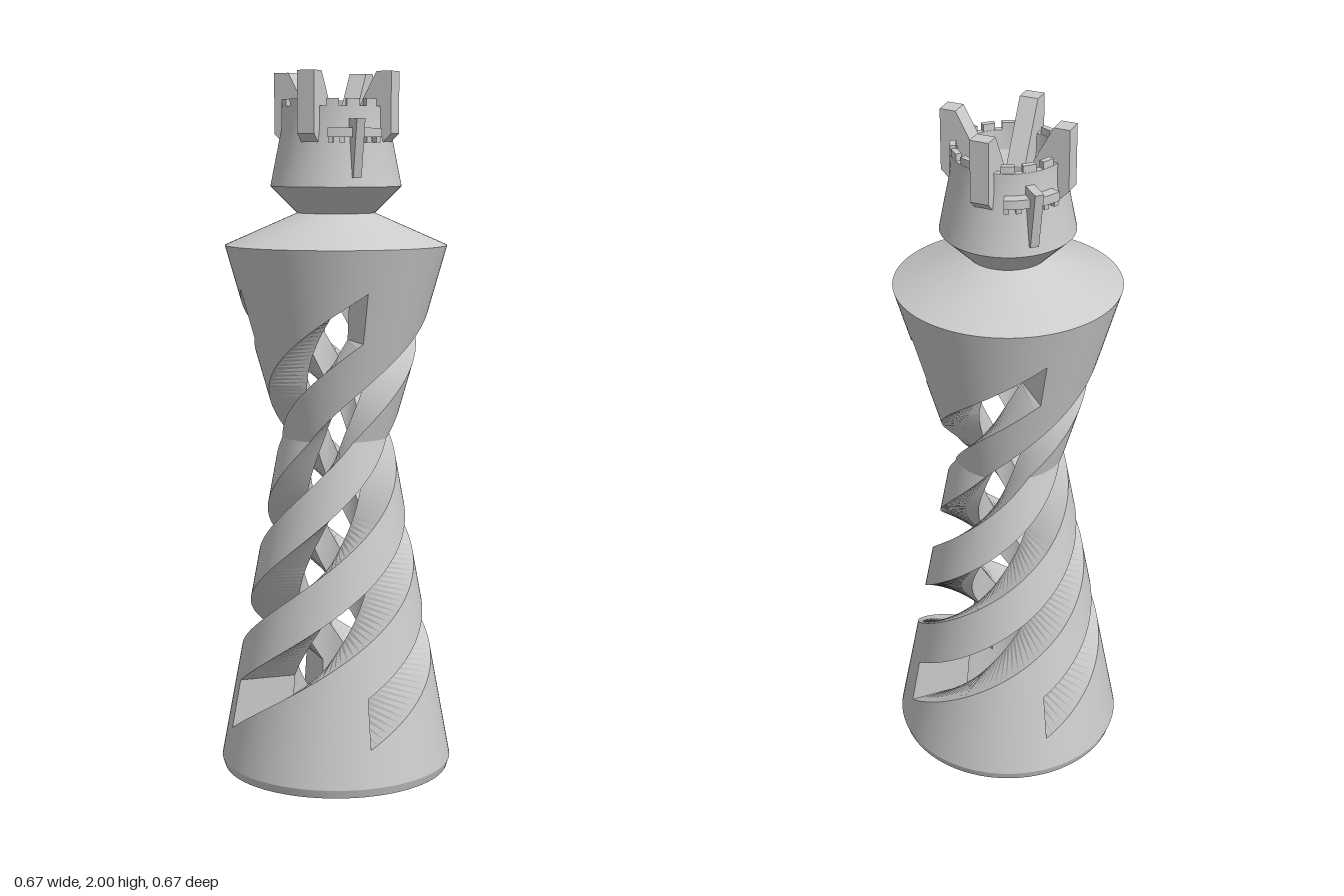
import * as THREE from 'three';
import { toCreasedNormals } from 'three/addons/utils/BufferGeometryUtils.js';

const mat = new THREE.MeshStandardMaterial({ color: 0xcccccc });
const TAU = Math.PI * 2;

// Body: two cones meeting at a waist, with a bore in proportion to the outside.
const BASE_Y = 0.025, WAIST_Y = 0.975, TOP_Y = 1.52, BORE = 0.433;
function outerRadius(y) {
  return y < WAIST_Y
    ? THREE.MathUtils.mapLinear(y, BASE_Y, WAIST_Y, 0.335, 0.16)
    : THREE.MathUtils.mapLinear(y, WAIST_Y, TOP_Y, 0.16, 0.315);
}

// Four slots climb one full turn; q counts quarter turns along a slot.
const slotLow = q => 0.13 + q * 0.2825;
const slotHigh = q => slotLow(q) + 0.14;

function mesh(name, geometry, crease = 0.4) {
  const m = new THREE.Mesh(toCreasedNormals(geometry, crease), mat);
  m.name = name;
  return m;
}

function point(r, y, a) {
  return new THREE.Vector3(r * Math.sin(a), y, r * Math.cos(a));
}

// Spiral body, one quadrant at a time: five bands of material between the slots.
function spiralBody() {
  const positions = [], STEPS = 24;
  const tri = (...pts) => {
    if (new THREE.Triangle(...pts).getArea() < 1e-9) return;
    for (const p of pts) positions.push(p.x, p.y, p.z);
  };
  const quad = (a, b, c, d) => { tri(a, b, c); tri(a, c, d); };
  const section = (low, high, angle) => {
    const mid = THREE.MathUtils.clamp(WAIST_Y, low, high);
    const ys = [low, mid, high];
    return [
      ...ys.map(y => point(outerRadius(y), y, angle)),
      ...ys.reverse().map(y => point(outerRadius(y) * BORE, y, angle)),
    ];
  };
  for (let k = 0; k < 4; k++) {
    const start = k * TAU / 4;
    for (let band = 0; band < 5; band++) {
      const rings = [];
      for (let i = 0; i <= STEPS; i++) {
        const t = i / STEPS;
        const low = band === 0 ? BASE_Y : slotHigh(t + band - 1);
        const high = band === 4 ? TOP_Y : slotLow(t + band);
        rings.push(section(low, high, start + t * TAU / 4));
      }
      for (let i = 0; i < STEPS; i++) {
        for (let j = 0; j < 6; j++) {
          const n = (j + 1) % 6;
          quad(rings[i][j], rings[i + 1][j], rings[i + 1][n], rings[i][n]);
        }
      }
    }
    // Upright walls closing the lower and upper end of each slot
    for (const q of [0, 4]) {
      const y0 = slotLow(q), y1 = slotHigh(q);
      const c = [
        point(outerRadius(y0), y0, start), point(outerRadius(y0) * BORE, y0, start),
        point(outerRadius(y1) * BORE, y1, start), point(outerRadius(y1), y1, start),
      ];
      if (q === 4) c.reverse();
      quad(...c);
    }
  }
  const g = new THREE.BufferGeometry();
  g.setAttribute('position', new THREE.Float32BufferAttribute(positions, 3));
  return g;
}

function lathe(profile) {
  return new THREE.LatheGeometry(profile.map(p => new THREE.Vector2(...p)), 96);
}

// Radial plate: (radius, y) outline with a thickness, turned about the axis.
function fin(outline, thickness, angle) {
  const shape = new THREE.Shape(outline.map(p => new THREE.Vector2(...p)));
  return new THREE.ExtrudeGeometry(shape, { depth: thickness, bevelEnabled: false })
    .translate(0, 0, -thickness / 2).rotateY(angle);
}

// Curved block: part of a ring between two radii and two heights.
function arcBlock(r0, r1, y0, y1, angle, spread) {
  const shape = new THREE.Shape();
  shape.absarc(0, 0, r1, angle - spread, angle + spread, false);
  shape.absarc(0, 0, r0, angle + spread, angle - spread, true);
  return new THREE.ExtrudeGeometry(shape, { depth: y1 - y0, bevelEnabled: false, curveSegments: 12 })
    .rotateX(-Math.PI / 2).translate(0, y0, 0);
}

export function createModel() {
  const model = new THREE.Group();
  model.name = 'spiralChessKing';

  model.add(mesh('spiralBody', spiralBody()));
  model.add(mesh('baseRim', lathe([
    [0.335 * BORE, BASE_Y], [0.335 * BORE, 0], [0.327, 0], [0.335, BASE_Y],
  ])));

  // Shoulder, neck, head and the hollow cup of the crown
  model.add(mesh('head', lathe([
    [0, TOP_Y], [0.315, TOP_Y], [0.11, 1.61], [0.185, 1.685], [0.153, 1.845],
    [0.153, 1.905], [0.135, 1.905], [0.132, 1.85], [0.085, 1.77], [0, 1.77],
  ])));

  // Crown: four diagonal spikes with small teeth on the rim between them
  const crown = new THREE.Group();
  crown.name = 'crown';
  for (let k = 0; k < 4; k++) {
    const a = k * TAU / 4;
    crown.add(mesh('crownSpike', fin([
      [0.183, 1.83], [0.183, 2], [0.138, 2], [0.05, 1.84], [0.05, 1.77], [0.12, 1.77],
    ], 0.052, a + TAU / 8)));
    for (const offset of [-0.38, 0, 0.38]) {
      crown.add(mesh('crownTooth', arcBlock(0.136, 0.152, 1.89, 1.925, a + offset, 0.12)));
    }
  }
  model.add(crown);

  // Crosses on the front and back of the head
  for (const a of [-Math.PI / 2, Math.PI / 2]) {
    const cross = new THREE.Group();
    cross.name = a < 0 ? 'frontCross' : 'backCross';
    cross.add(mesh('crossUpright', fin([
      [0.14, 1.87], [0.14, 1.71], [0.188, 1.71], [0.219, 1.87],
    ], 0.024, a)));
    cross.add(mesh('crossArm', arcBlock(0.14, 0.183, 1.82, 1.845, a, 0.44)));
    for (const offset of [-0.4, -0.22, 0.22, 0.4]) {
      cross.add(mesh('crossArmTooth', arcBlock(0.14, 0.178, 1.805, 1.822, a + offset, 0.04)));
    }
    model.add(cross);
  }
  return model;
}
